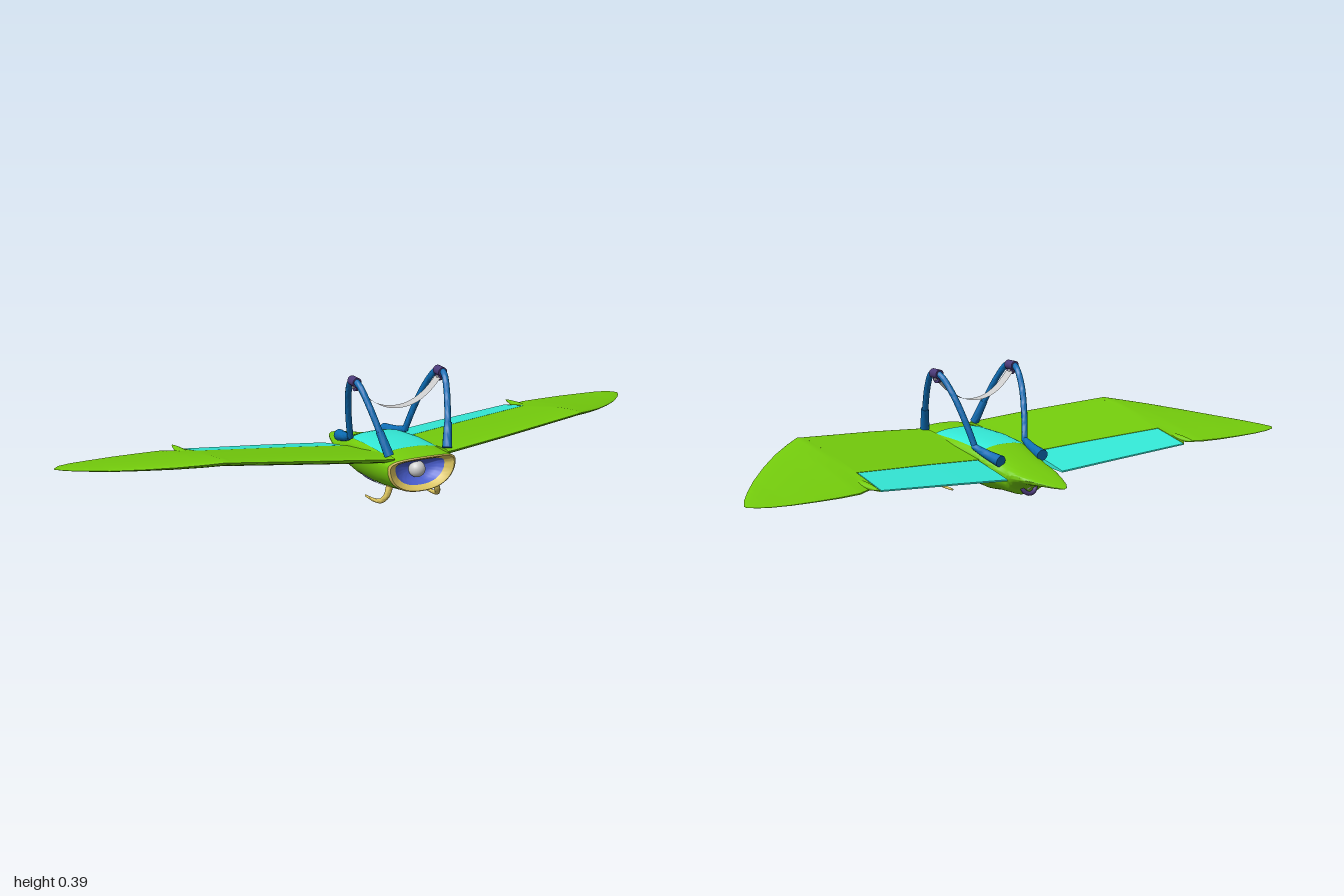
import * as THREE from 'three';
import { toCreasedNormals } from 'three/addons/utils/BufferGeometryUtils.js';

const V = (x, y, z) => new THREE.Vector3(x, y, z);
const mat = (color) => new THREE.MeshStandardMaterial({ color, side: THREE.DoubleSide });
const green = mat(0x74cc0c), cyan = mat(0x33e8d6), blue = mat(0x0c6db5), purple = mat(0x4b3a78);
const yellow = mat(0xe0c860), lilac = mat(0x8d95d8), grey = mat(0xcccccc), indigo = mat(0x4a5fd0);

function part(name, geometry, material) {
  const m = new THREE.Mesh(geometry, material);
  m.name = name;
  return m;
}

// linear lookup in rows of [key, ...values], keys ascending
function lookup(rows, k) {
  let i = 0;
  while (i < rows.length - 2 && k > rows[i + 1][0]) i++;
  const a = rows[i], b = rows[i + 1];
  const t = THREE.MathUtils.clamp((k - a[0]) / (b[0] - a[0]), 0, 1);
  return a.slice(1).map((v, j) => v + (b[j + 1] - v) * t);
}

// surface through a grid of points f(row, column)
function grid(nr, nc, f, crease = 0.7) {
  const pos = [], idx = [];
  for (let i = 0; i <= nr; i++) for (let j = 0; j <= nc; j++) pos.push(...f(i, j).toArray());
  for (let i = 0; i < nr; i++) for (let j = 0; j < nc; j++) {
    const a = i * (nc + 1) + j, b = a + nc + 1;
    idx.push(a, a + 1, b, a + 1, b + 1, b);
  }
  const g = new THREE.BufferGeometry();
  g.setAttribute('position', new THREE.Float32BufferAttribute(pos, 3));
  g.setIndex(idx);
  return toCreasedNormals(g, crease);
}

// tube along points whose radius runs from r0 to r1, with rounded ends
function taperTube(points, r0, r1, n = 32) {
  const curve = new THREE.CatmullRomCurve3(points), frames = curve.computeFrenetFrames(n);
  return grid(n + 2, 12, (i, j) => {
    const k = THREE.MathUtils.clamp(i - 1, 0, n), a = j / 12 * Math.PI * 2;
    const r = i === 0 || i === n + 2 ? 0 : r0 + (r1 - r0) * k / n;
    return curve.getPointAt(k / n).addScaledVector(frames.normals[k], r * Math.cos(a))
      .addScaledVector(frames.binormals[k], r * Math.sin(a));
  });
}

// body stations: z, top, bottom, half width
const BODY = [
  [-0.333, 0.078, 0.077, 0.002], [-0.325, 0.081, 0.076, 0.015], [-0.3, 0.086, 0.075, 0.032],
  [-0.25, 0.095, 0.073, 0.054], [-0.2, 0.106, 0.068, 0.071], [-0.17, 0.114, 0.058, 0.079],
  [-0.15, 0.12, 0.044, 0.083], [-0.14, 0.123, 0.027, 0.085], [-0.06, 0.15, 0.026, 0.096],
  [-0.02, 0.164, 0.021, 0.1], [0, 0.169, 0.02, 0.102], [0.1, 0.178, 0.028, 0.11],
  [0.2, 0.178, 0.041, 0.114], [0.305, 0.178, 0.06, 0.115]];
const spow = (v, p) => Math.sign(v) * Math.pow(Math.abs(v), p);
function bodyPoint(z, a) {
  const [top, bot, w] = lookup(BODY, z), mid = bot + (top - bot) * 0.68;
  const c = Math.cos(a), s = Math.sin(a);
  const x = w * spow(c, 0.85);
  const y = s > 0 ? mid + (top - mid) * Math.pow(s, 0.7) : mid + (mid - bot) * s;
  // the roof sweeps forward into a visor
  const visor = z > 0.3 && s > 0 ? 0.028 * s * s : 0;
  return V(x, y, z + visor);
}

// wing stations: x, leading z, leading y, trailing z, trailing y, thickness
const WING = [
  [0.1, 0.303, 0.173, -0.185, 0.092, 1], [0.3, 0.282, 0.19, -0.198, 0.108, 0.95],
  [0.58, 0.239, 0.211, -0.213, 0.128, 0.85], [0.6, 0.235, 0.213, -0.19, 0.132, 0.85],
  [0.65, 0.203, 0.204, -0.216, 0.13, 0.8], [0.72, 0.152, 0.191, -0.223, 0.129, 0.65],
  [0.8, 0.08, 0.175, -0.225, 0.129, 0.5], [0.88, -0.002, 0.158, -0.222, 0.129, 0.35],
  [0.94, -0.075, 0.146, -0.215, 0.13, 0.25], [0.98, -0.13, 0.137, -0.202, 0.131, 0.15],
  [1, -0.168, 0.132, -0.18, 0.131, 0.03]];
const hinge = (x) => 0.67 + 0.04 * (x - 0.1) / 0.48;

// closed wing panel between two spans and two chord fractions
function wingPanel(x0, x1, from, to, n) {
  const m = 16;
  return grid(n + 2, 2 * m + 2, (i, j) => {
    const k = THREE.MathUtils.clamp(i - 1, 0, n), x = x0 + (x1 - x0) * k / n;
    const [lz, ly, tz, ty, th] = lookup(WING, x);
    const top = j <= m || j === 2 * m + 2;
    const q = j === 2 * m + 2 ? 0 : top ? j / m : (2 * m + 1 - j) / m;
    const u = from(x) + (to(x) - from(x)) * q * q * (3 - 2 * q);
    const h = 2.6 * Math.sqrt(u) * (1 - u) + 0.15 * u;
    const cap = i === 0 || i === n + 2 ? 0 : th;
    return V(x, ly + (ty - ly) * u + cap * h * (top ? 0.011 : -0.022), lz + (tz - lz) * u);
  });
}

function buildSide() {
  const side = new THREE.Group();
  side.add(part('innerWing', wingPanel(0.09, 0.58, () => 0, hinge, 24), green));
  side.add(part('outerWing', wingPanel(0.58, 1, () => 0, () => 1, 42), green));
  side.add(part('flap', wingPanel(0.105, 0.577, (x) => hinge(x) + 0.006, () => 1, 12), cyan));

  // teardrop fairing at the wing break
  const fin = new THREE.SphereGeometry(1, 20, 14);
  const p = fin.attributes.position;
  for (let i = 0; i < p.count; i++) {
    const z = p.getZ(i), s = 0.65 + 0.35 * z;
    p.setXYZ(i, p.getX(i) * 0.022 * s, p.getY(i) * 0.016 * s, z * 0.075);
  }
  fin.computeVertexNormals();
  const finMesh = part('wingFin', fin, green);
  finMesh.position.set(0.6, 0.137, -0.166);
  side.add(finMesh);

  // arched handle with sleeve, rear foot and top clamp
  const arch = [[0.278, 0.185], [0.25, 0.25], [0.205, 0.335], [0.17, 0.377], [0.14, 0.385],
    [0.11, 0.374], [0.065, 0.32], [0.025, 0.235], [0, 0.16]]
    .map(([z, y]) => V(0.1 + (y - 0.18) * 0.23, y, z));
  side.add(part('handleArch', taperTube(arch, 0.01, 0.01, 48), blue));
  side.add(part('handleSleeve', taperTube([V(0.098, 0.178, 0.281), V(0.116, 0.249, 0.252)], 0.015, 0.012, 4), blue));
  side.add(part('handleFoot', taperTube([V(0.098, 0.165, 0.005), V(0.088, 0.148, -0.05), V(0.08, 0.135, -0.115)], 0.01, 0.019, 8), blue));
  const clamp = part('strapClamp', new THREE.CylinderGeometry(0.015, 0.015, 0.038, 20), purple);
  clamp.rotation.x = Math.PI / 2;
  clamp.position.set(0.146, 0.381, 0.14);
  const lug = part('clampLug', new THREE.CylinderGeometry(0.018, 0.018, 0.01, 20), purple);
  lug.rotation.z = Math.PI / 2;
  lug.position.set(0.143, 0.369, 0.14);
  const pin = part('clampPin', new THREE.CylinderGeometry(0.005, 0.005, 0.016, 12), grey);
  pin.rotation.z = Math.PI / 2;
  pin.position.set(0.144, 0.364, 0.14);
  side.add(clamp, lug, pin);

  // curved landing hook
  side.add(part('landingHook', taperTube([V(0.077, 0.068, 0.241), V(0.086, 0.04, 0.241), V(0.095, 0.02, 0.225),
    V(0.099, 0.01, 0.19), V(0.1, 0.006, 0.15), V(0.1, 0.005, 0.12)], 0.011, 0.003), yellow));

  // slanted side plate following the hull
  side.add(part('sidePlate', grid(8, 8, (i, j) => {
    const t = i / 8, s = j / 8;
    const y = THREE.MathUtils.lerp(0.067, THREE.MathUtils.lerp(0.031, 0.042, s), t);
    const z = THREE.MathUtils.lerp(0.066 + 0.009 * t, 0.15 + 0.013 * t, s);
    const [top, bot, w] = lookup(BODY, z), mid = bot + (top - bot) * 0.68;
    const a = Math.asin(THREE.MathUtils.clamp((y - mid) / (mid - bot), -0.99, 0));
    return V(w * Math.pow(Math.cos(a), 0.85) + 0.006, y, z);
  }), lilac));
  return side;
}

export function createModel() {
  const model = new THREE.Group();
  model.name = 'glider';

  // hull
  const N = 56, zs = [];
  for (let i = 0; i < BODY.length - 1; i++)
    for (let k = 0; k < 3; k++) zs.push(BODY[i][0] + (BODY[i + 1][0] - BODY[i][0]) * k / 3);
  zs.push(0.305);
  const ang = (j) => j / N * Math.PI * 2;
  model.add(part('hull', grid(zs.length - 1, N, (i, j) => bodyPoint(zs[i], ang(j)), 1), green));

  // mouth: lip then bowl, shrinking inward from the hull rim
  const inset = (rows, name, material) => model.add(part(name, grid(rows.length - 1, N, (i, j) => {
    const [s, back] = rows[i], q = bodyPoint(0.305, ang(j));
    return V(q.x * s, 0.122 + (q.y - 0.122) * s, 0.305 + (q.z - 0.305) * s - back);
  }), material));
  inset([[1, 0], [0.94, -0.005], [0.85, 0], [0.72, 0.012]], 'mouthLip', yellow);
  inset([[0.72, 0.012], [0.6, 0.03], [0.4, 0.042], [0, 0.048]], 'mouthBowl', indigo);
  const lamp = part('noseLamp', new THREE.SphereGeometry(0.026, 24, 16), grey);
  lamp.position.set(0, 0.122, 0.272);
  model.add(lamp);

  // canopy patch lying on the hull roof
  model.add(part('canopy', grid(12, 20, (i, j) => {
    const z = -0.02 + 0.25 * i / 12, edge = 0.6 + 0.1 * i / 12;
    return bodyPoint(z, edge + (Math.PI - 2 * edge) * j / 20).add(V(0, 0.002, 0));
  }), cyan));

  // rear nozzle under the tail
  const ring = part('nozzleRing', new THREE.TorusGeometry(0.026, 0.007, 12, 28), purple);
  const core = part('nozzleCore', new THREE.SphereGeometry(0.014, 16, 12), grey);
  ring.position.set(0, 0.056, -0.15);
  ring.rotation.x = 0.35;
  core.position.set(0, 0.056, -0.147);
  model.add(ring, core);

  // sagging strap between the arches
  model.add(part('strap', grid(32, 1, (i, j) => {
    const t = i / 16 - 1;
    return V(0.14 * t, 0.285 + 0.08 * Math.pow(Math.abs(t), 2.2), 0.122 + 0.036 * j);
  }), grey));

  // mirrored wings and fittings
  const left = buildSide(), right = left.clone();
  left.name = 'leftSide';
  right.name = 'rightSide';
  right.scale.x = -1;
  model.add(left, right);
  return model;
}
